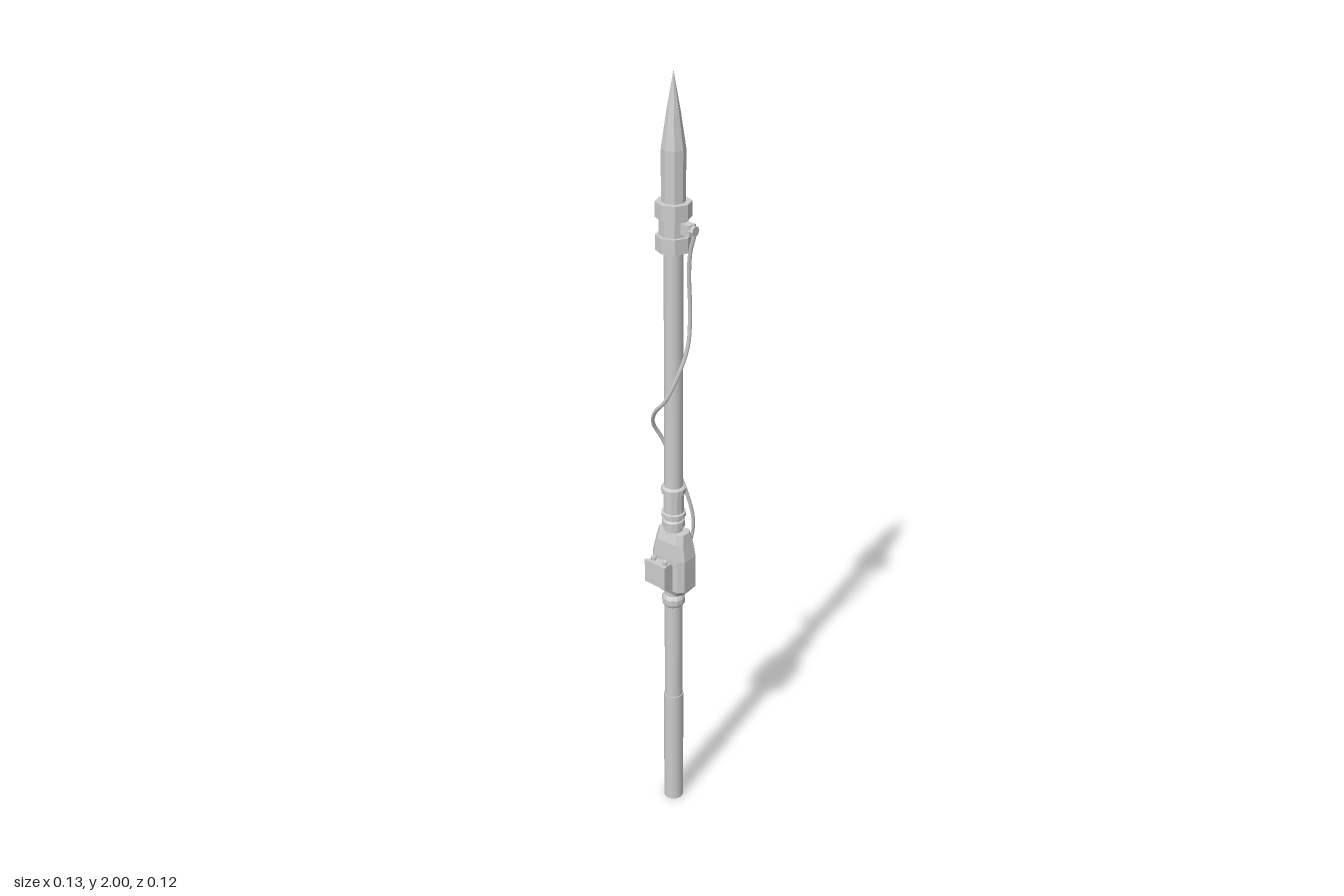
import * as THREE from 'three';

const CZ = -0.003; // shaft axis offset in z

export function createModel() {
  const group = new THREE.Group();
  const flat = new THREE.MeshStandardMaterial({ color: 0xcccccc, flatShading: true });
  const smooth = new THREE.MeshStandardMaterial({ color: 0xcccccc });

  const add = (name, geo, mat = flat, x = 0, y = 0, z = 0) => {
    const m = new THREE.Mesh(geo, mat);
    m.name = name;
    m.position.set(x, y, z);
    group.add(m);
    return m;
  };

  // Straight or tapered ring around the shaft, between heights y0 and y1
  const ring = (name, y0, y1, rBottom, rTop = rBottom, sides = 8, mat = flat) =>
    add(name, new THREE.CylinderGeometry(rTop, rBottom, y1 - y0, sides), mat, 0, (y0 + y1) / 2, CZ);

  // Surface through profile points [radius, height]
  const lathe = (name, pts, sides) =>
    add(name, new THREE.LatheGeometry(pts.map(p => new THREE.Vector2(p[0], p[1])), sides), flat, 0, 0, CZ);

  // Chamfered box lofted through sections [y, x0, x1, z0, z1, chamfer]
  const loft = (name, sections) => {
    const pos = [], idx = [];
    for (const [y, x0, x1, z0, z1, c] of sections) {
      const loop = [[x0 + c, z0], [x0, z0 + c], [x0, z1 - c], [x0 + c, z1],
        [x1 - c, z1], [x1, z1 - c], [x1, z0 + c], [x1 - c, z0]];
      for (const [x, z] of loop) pos.push(x, y, z);
    }
    const last = (sections.length - 1) * 8;
    for (let s = 0; s < last; s += 8)
      for (let i = 0; i < 8; i++) {
        const a = s + i, b = s + (i + 1) % 8;
        idx.push(a, b, b + 8, a, b + 8, a + 8);
      }
    for (let i = 1; i < 7; i++) {
      idx.push(0, i + 1, i);
      idx.push(last, last + i, last + i + 1);
    }
    const g = new THREE.BufferGeometry();
    g.setAttribute('position', new THREE.Float32BufferAttribute(pos, 3));
    g.setIndex(idx);
    g.computeVertexNormals();
    return add(name, g);
  };

  // Shaft with a thicker grip at the bottom
  ring('grip', 0, 0.35, 0.026, 0.026, 16, smooth);
  ring('shaft', 0.35, 1.62, 0.0235, 0.0225, 16, smooth);

  // Lower collar under the housing
  lathe('lowerCollar', [[0.023, 0.635], [0.028, 0.64], [0.03, 0.646], [0.03, 0.66],
    [0.026, 0.667], [0.019, 0.672], [0.024, 0.69]], 12);

  // Housing
  loft('housing', [
    [0.68, -0.022, 0.024, -0.038, 0.034, 0.012],
    [0.7, -0.033, 0.037, -0.055, 0.05, 0.014],
    [0.79, -0.033, 0.037, -0.055, 0.05, 0.014],
    [0.835, -0.03, 0.034, -0.046, 0.042, 0.014],
    [0.86, -0.022, 0.024, -0.042, 0.038, 0.012],
  ]);

  // Slanted side box with end plate and two bolts
  const side = new THREE.Shape();
  [[-0.03, 0.7], [-0.062, 0.722], [-0.062, 0.785], [-0.04, 0.785], [-0.03, 0.77]]
    .forEach(([x, y], i) => (i ? side.lineTo(x, y) : side.moveTo(x, y)));
  add('sideBox', new THREE.ExtrudeGeometry(side, { depth: 0.058, bevelEnabled: false }), flat, 0, 0, -0.036);
  add('sidePlate', new THREE.BoxGeometry(0.007, 0.064, 0.066), flat, -0.0645, 0.755, -0.007);
  for (const z of [-0.025, 0.012])
    add('sideBolt', new THREE.CylinderGeometry(0.007, 0.007, 0.012, 8), flat, -0.051, 0.788, z);

  // Stepped sleeve above the housing
  lathe('sleeve', [[0.021, 0.85], [0.021, 0.868], [0.029, 0.872], [0.029, 0.89], [0.025, 0.893],
    [0.025, 0.901], [0.031, 0.903], [0.031, 0.912], [0.026, 0.914], [0.026, 0.965],
    [0.031, 0.968], [0.031, 0.982], [0.023, 0.986]], 12);

  // Double collar below the tip
  ring('collarCore', 1.625, 1.68, 0.034);
  for (const y of [1.598, 1.675]) ring('collarBand', y, y + 0.036, 0.042);

  // Pointed tip
  ring('tipBase', 1.705, 1.83, 0.028);
  lathe('tipPoint', [[0.028, 1.83], [0.016, 1.91], [0, 2]], 8);

  // Front connector with a plug
  add('connector', new THREE.BoxGeometry(0.022, 0.026, 0.03), flat, 0, 1.655, 0.038);
  const plug = add('plug', new THREE.CylinderGeometry(0.012, 0.012, 0.012, 8), flat, 0, 1.655, 0.056);
  plug.rotation.x = Math.PI / 2;

  // Cable winding from the connector round the back to the housing
  const path = [
    [0, 1.645, 0.058], [0, 1.6, 0.046], [0.005, 1.54, 0.039], [0.01, 1.46, 0.038],
    [0.002, 1.37, 0.039], [-0.022, 1.29, 0.025], [-0.036, 1.23, 0.002],
    [-0.034, 1.19, -0.032], [-0.016, 1.145, -0.054], [0.008, 1.1, -0.048],
    [0.025, 1.04, -0.03], [0.04, 0.96, 0], [0.055, 0.875, 0.014],
    [0.061, 0.81, 0.004], [0.056, 0.78, -0.006], [0.034, 0.77, -0.01],
  ].map(p => new THREE.Vector3(...p));
  add('cable', new THREE.TubeGeometry(new THREE.CatmullRomCurve3(path), 64, 0.0048, 6), smooth);
  const socket = add('cableSocket', new THREE.CylinderGeometry(0.009, 0.009, 0.012, 8), flat, 0.04, 0.77, -0.01);
  socket.rotation.z = Math.PI / 2;

  return group;
}
